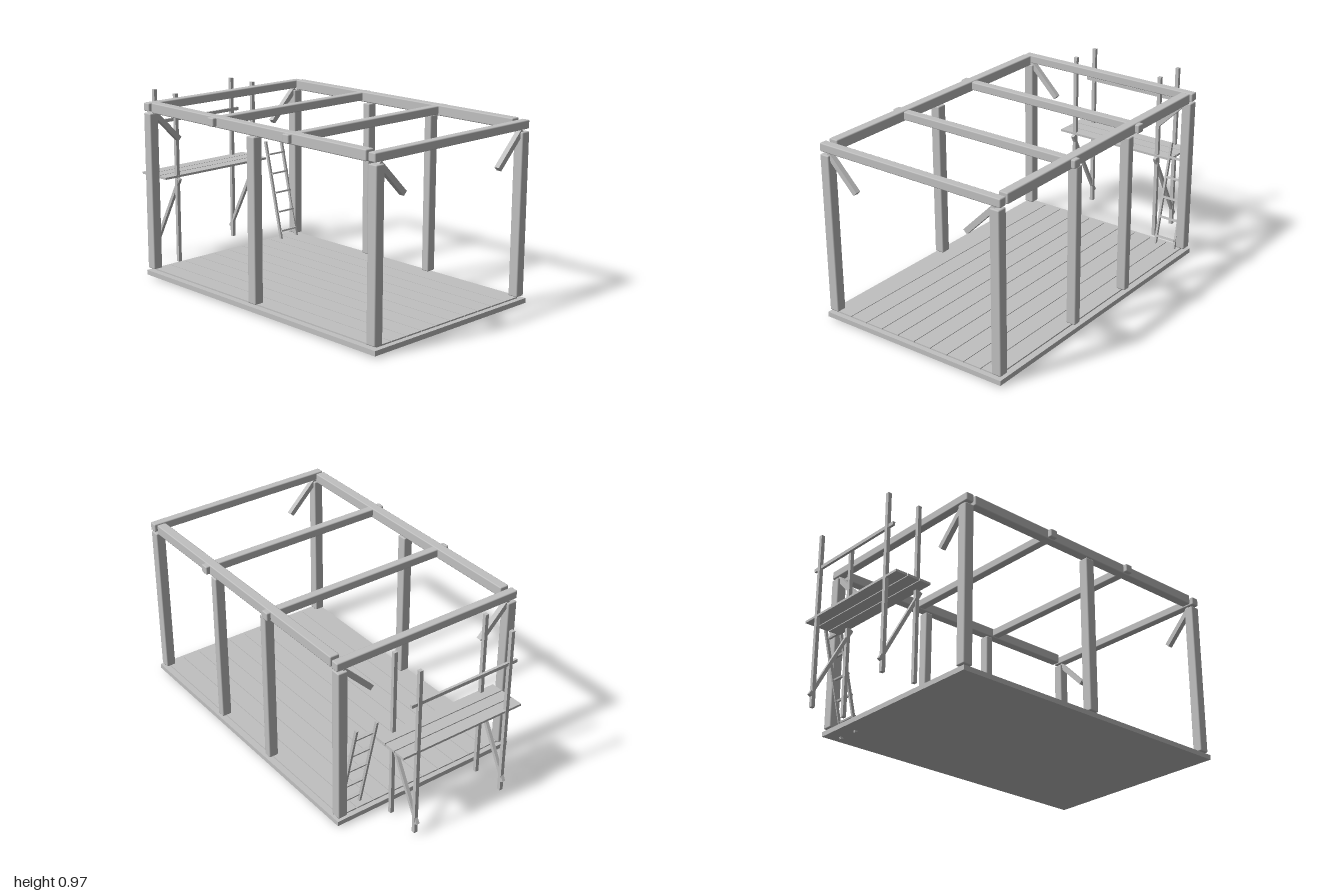
import * as THREE from 'three';
import { RoundedBoxGeometry } from 'three/addons/geometries/RoundedBoxGeometry.js';

export function createModel() {
  const model = new THREE.Group();
  model.name = 'timberFrame';
  const timber = new THREE.MeshStandardMaterial({ color: 0xc0c0c0 });
  timber.name = 'timberGrey';

  const place = (name, geometry, x, y, z, parent) => {
    const mesh = new THREE.Mesh(geometry, timber);
    mesh.name = name;
    mesh.position.set(x, y, z);
    parent.add(mesh);
    return mesh;
  };
  // Sharp-edged board
  const board = (name, w, h, d, x, y, z, parent = model) =>
    place(name, new THREE.BoxGeometry(w, h, d), x, y, z, parent);
  // Heavy timber with softened edges
  const beam = (name, w, h, d, x, y, z, parent = model) =>
    place(name, new RoundedBoxGeometry(w, h, d, 1, 0.006), x, y, z, parent);
  const group = (name) => {
    const g = new THREE.Group();
    g.name = name;
    model.add(g);
    return g;
  };

  const endXs = [-0.687, 0.96];
  const sideZ = 0.519;

  // Base slab and deck planks
  const floor = group('floor');
  board('baseSlab', 1.715, 0.026, 1.105, 0.14, 0.025, 0, floor);
  for (let i = 0; i < 10; i++) {
    board('deckPlank', 1.66, 0.01, 0.1, 0.14, 0.04, -0.468 + i * 0.104, floor);
  }

  // Posts
  const posts = group('posts');
  const post = (name, w, x, z) => beam(name, w, 0.855, 0.054, x, 0.478, z, posts);
  for (const x of endXs) for (const s of [-1, 1]) post('cornerPost', 0.055, x, s * sideZ);
  post('frontMiddlePost', 0.055, 0.136, sideZ);
  post('backPost', 0.045, -0.088, -sideZ);
  post('backPost', 0.045, 0.362, -sideZ);

  // Long side beams and cross beams
  const roof = group('roofBeams');
  for (const s of [-1, 1]) beam('sideBeam', 1.57, 0.055, 0.052, 0.135, 0.939, s * sideZ, roof);
  for (const x of endXs) beam('endBeam', 0.045, 0.045, 1.1, x, 0.939, 0, roof);
  for (const x of [-0.14, 0.411]) beam('crossBeam', 0.045, 0.045, 1.135, x, 0.94, 0, roof);

  // Diagonal corner braces
  const braces = group('braces');
  for (const x of endXs) {
    for (const s of [-1, 1]) {
      const brace = board('cornerBrace', 0.028, 0.24, 0.028, x, 0.825, s * 0.425, braces);
      brace.rotation.x = s * Math.PI / 4;
    }
  }

  // Scaffold with three walking planks, a guard rail and diagonal struts
  const scaffold = group('scaffold');
  for (const s of [-1, 1]) {
    const z = s * 0.277;
    for (const x of [-0.972, -0.786]) board('scaffoldUpright', 0.02, 0.95, 0.02, x, 0.49, z, scaffold);
    const dx = 0.225, dy = 0.42;
    const strut = board('scaffoldStrut', 0.018, Math.hypot(dx, dy), 0.018, -0.877, 0.284, z, scaffold);
    strut.rotation.z = -Math.atan2(dx, dy);
  }
  for (let i = 0; i < 3; i++) {
    board('scaffoldPlank', 0.066, 0.012, 0.735, -0.948 + i * 0.071, 0.505, 0, scaffold);
  }
  board('guardRail', 0.014, 0.018, 0.645, -0.969, 0.78, 0, scaffold);

  // Leaning ladder
  const ladder = group('ladder');
  const lean = Math.atan2(0.14, 0.6);
  for (const z of [-0.371, -0.491]) {
    const rail = board('ladderRail', 0.016, 0.618, 0.012, -0.71, 0.303, z, ladder);
    rail.rotation.z = lean;
  }
  for (let i = 0; i < 5; i++) {
    const y = 0.09 + i * 0.11;
    const rung = board('ladderRung', 0.018, 0.009, 0.12, -0.63 - y * 0.233, y, -0.431, ladder);
    rung.rotation.z = lean;
  }
  return model;
}
